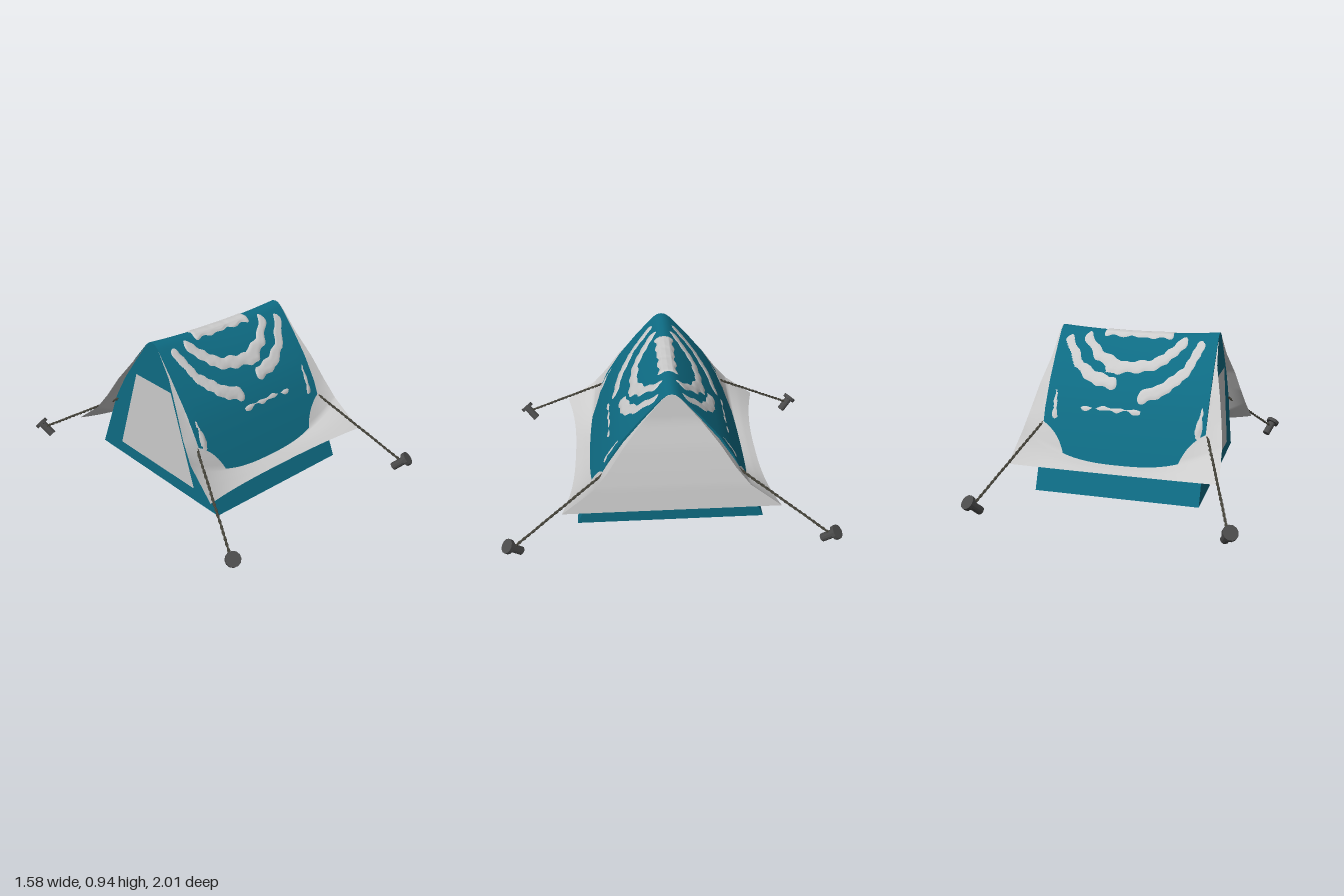
import * as THREE from 'three';
import { toCreasedNormals } from 'three/addons/utils/BufferGeometryUtils.js';

const mat = (color, side = THREE.FrontSide) => new THREE.MeshStandardMaterial({ color, side });
const { clamp, lerp } = THREE.MathUtils;

// Half cross-sections as [z, y], from the ridge down
const upper = [[0, 0.94], [0.025, 0.935], [0.055, 0.913], [0.165, 0.79], [0.28, 0.645], [0.37, 0.5]];
const bodyProfile = [...upper, [0.49, 0.22], [0.57, 0.035]];
const sheetMiddle = [...upper, [0.488, 0.218], [0.585, 0.19]];
const sheetEnd = [[0, 0.94], [0.025, 0.934], [0.055, 0.908], [0.165, 0.775], [0.28, 0.625], [0.37, 0.485], [0.46, 0.37], [0.65, 0.22]];
const sheetReach = [0.496, 0.497, 0.5, 0.515, 0.555, 0.585, 0.607, 0.625];

// The ridge sags a little between its ends
const sag = (x, y) => y - 0.022 * Math.max(0, 1 - (x / 0.5) ** 2) * clamp((y - 0.7) / 0.24, 0, 1);

// Creases where the sheet lifts off the body: [half width, points as x, y]
const creases = [
  [0.035, [-0.4, 0.86], [-0.34, 0.74], [-0.24, 0.65], [-0.1, 0.59]],
  [0.03, [-0.29, 0.88], [-0.2, 0.79], [-0.1, 0.75], [0.13, 0.73]],
  [0.035, [0.43, 0.86], [0.34, 0.74], [0.24, 0.68], [0.11, 0.65]],
  [0.028, [0.31, 0.88], [0.22, 0.79], [0.1, 0.75]],
  [0.009, [-0.11, 0.508], [0.12, 0.514], [0.27, 0.508]],
  [0.018, [-0.455, 0.44], [-0.47, 0.6]],
  [0.018, [0.43, 0.46], [0.45, 0.6]],
  [0.018, [-0.2, 0.912], [0.2, 0.912]],
].map(([width, ...pts]) => ({
  width,
  lines: pts.slice(1).map((p, i) => new THREE.Line3(
    new THREE.Vector3(...pts[i], 0), new THREE.Vector3(...p, 0))),
}));

function lift(x, y) {
  const p = new THREE.Vector3(x, y, 0), near = new THREE.Vector3();
  let inside = -1;
  for (const { width, lines } of creases) {
    for (const line of lines) {
      line.closestPointToPoint(p, true, near);
      inside = Math.max(inside, width - near.distanceTo(p));
    }
  }
  const ragged = 0.004 * Math.sin(x * 61 + y * 23) + 0.003 * Math.sin(y * 97 - x * 41);
  return 0.006 * clamp((inside + ragged) / 0.012, -1, 1);
}

// Point on the sheet: s runs along the ridge (-1..1), t across it (-1..1)
function sheetPoint(s, t) {
  const w = Math.abs(s) ** 2.6;
  const f = Math.abs(t) * (upper.length + 1);
  const i = Math.min(Math.floor(f), upper.length), k = f - i;
  const x = s * lerp(sheetReach[i], sheetReach[i + 1], k) + (s > 0 ? 0.008 * s ** 8 : 0);
  const at = (j) => [
    lerp(sheetMiddle[j][0], sheetEnd[j][0], w),
    sag(x, lerp(sheetMiddle[j][1], sheetEnd[j][1], w)),
  ];
  const a = at(i), b = at(i + 1);
  let z = lerp(a[0], b[0], k), y = lerp(a[1], b[1], k);
  const o = lift(x, y) * clamp((6.5 - f) * 2, 0, 1) * (1 - Math.abs(s) ** 12);
  z += o * 0.8 * clamp(f, 0, 1);
  y += o * 0.6;
  return [x, y, z * Math.sign(t)];
}

// Smooth grid surface through point(u, v), with u and v in -1..1
function gridGeometry(point, nu, nv) {
  const pos = [], index = [];
  for (let j = 0; j <= nv; j++) {
    for (let i = 0; i <= nu; i++) {
      pos.push(...point(-1 + 2 * i / nu, -1 + 2 * j / nv));
      if (i < nu && j < nv) {
        const a = j * (nu + 1) + i, b = a + nu + 1;
        index.push(a, b, a + 1, a + 1, b, b + 1);
      }
    }
  }
  const geo = new THREE.BufferGeometry();
  geo.setAttribute('position', new THREE.Float32BufferAttribute(pos, 3));
  geo.setIndex(index);
  geo.computeVertexNormals();
  return geo;
}

export function createModel() {
  const model = new THREE.Group();
  const teal = mat(0x0e6c84), cloth = mat(0xcccccc, THREE.DoubleSide);
  const ropeMat = mat(0x4a483e), pegMat = mat(0x4a4a4a);
  const add = (name, geo, material, parent = model) => {
    const mesh = new THREE.Mesh(geo, material);
    mesh.name = name;
    parent.add(mesh);
    return mesh;
  };

  // Inner tent: extruded section with a sagging ridge
  const outline = [...bodyProfile, ...bodyProfile.slice(1).reverse().map(([z, y]) => [-z, y])];
  let body = new THREE.ExtrudeGeometry(
    new THREE.Shape(outline.map((p) => new THREE.Vector2(...p))),
    { depth: 1, steps: 16, bevelEnabled: false });
  body.translate(0, 0, -0.5).rotateY(Math.PI / 2);
  const p = body.attributes.position;
  for (let i = 0; i < p.count; i++) p.setY(i, sag(p.getX(i), p.getY(i)));
  body = toCreasedNormals(body, 0.7);
  add('innerTent', body, teal);

  // Door panel on the open end
  const door = new THREE.Shape([[-0.36, 0.12], [0.36, 0.12], [0.165, 0.68], [-0.165, 0.68]]
    .map((q) => new THREE.Vector2(...q)));
  add('doorPanel', new THREE.ShapeGeometry(door), cloth).rotation.y = -Math.PI / 2;
  model.children.at(-1).position.x = -0.504;

  // Outer sheet over the ridge, and the flap closing its +x end
  add('flySheet', gridGeometry(sheetPoint, 110, 140), cloth);
  add('endFlap', gridGeometry((u, v) => {
    const [x, y, z] = sheetPoint(1, (v + 1) / 2);
    return [x, y, z * u];
  }, 8, 28), cloth);

  // Guy ropes of two twisted strands, each tied to a leaning peg
  const up = new THREE.Vector3(0, 1, 0);
  for (const sx of [-1, 1]) {
    for (const sz of [-1, 1]) {
      const guy = new THREE.Group();
      guy.name = 'guyLine';
      model.add(guy);

      const start = new THREE.Vector3(sx * 0.5, 0.425, sz * 0.38);
      const end = new THREE.Vector3(sx * 0.725, 0.075, sz * 0.925);
      const span = end.clone().sub(start), length = span.length();
      const rope = new THREE.Group();
      rope.name = 'rope';
      rope.position.copy(start);
      rope.quaternion.setFromUnitVectors(up, span.normalize());
      guy.add(rope);
      for (const phase of [0, Math.PI]) {
        const pts = Array.from({ length: 81 }, (_, i) => {
          const a = phase + i * Math.PI / 4;
          return new THREE.Vector3(0.004 * Math.cos(a), length * i / 80, 0.004 * Math.sin(a));
        });
        add('ropeStrand', new THREE.TubeGeometry(new THREE.CatmullRomCurve3(pts), 120, 0.005, 5), ropeMat, rope);
      }

      const peg = new THREE.Group();
      peg.name = 'peg';
      peg.position.set(sx * 0.706, 0.017, sz * 0.898);
      peg.quaternion.setFromUnitVectors(up, new THREE.Vector3(sx * 0.037, 0.07, sz * 0.065).normalize());
      guy.add(peg);
      const parts = [['pegShaft', 0.025, 0.025, 0.1, 0.05], ['pegHead', 0.044, 0.044, 0.024, 0.105]];
      for (const [name, top, bottom, height, y] of parts) {
        const geo = toCreasedNormals(new THREE.CylinderGeometry(top, bottom, height, 12), 0.4);
        add(name, geo, pegMat, peg).position.y = y;
      }
    }
  }
  return model;
}
